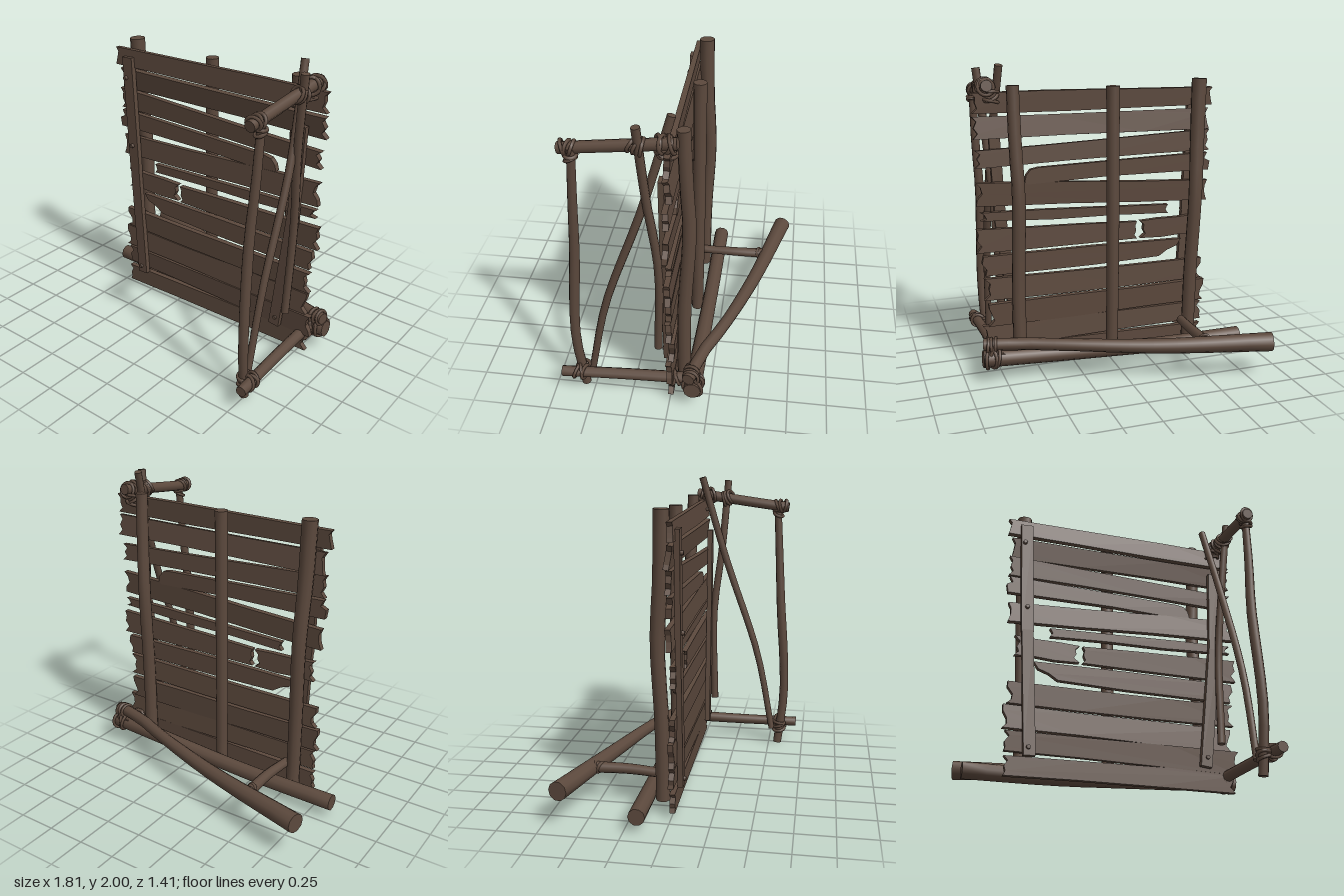
import * as THREE from 'three';
import { toCreasedNormals } from 'three/addons/utils/BufferGeometryUtils.js';

const wood = new THREE.MeshStandardMaterial({ color: 0x5c493d });
wood.name = 'weathered brown wood';

// Seeded random for splintered ends
let seed = 11;
const rand = () => (seed = (seed * 16807) % 2147483647) / 2147483647;
const jitter = (a) => (rand() - 0.5) * 2 * a;

const vec = (p) => new THREE.Vector3(...p);

export function createModel() {
  const model = new THREE.Group();
  model.name = 'plankScreen';

  const add = (name, geo) => {
    const mesh = new THREE.Mesh(geo, wood);
    mesh.name = name;
    model.add(mesh);
    return mesh;
  };

  // Log or pole: a capped cylinder bent along a curve, with radii from start to end
  const pole = (name, points, radii, sides = 10) => {
    const curve = new THREE.CatmullRomCurve3(points.map(vec));
    const n = points.length > 2 ? 12 : 2;
    const frames = curve.computeFrenetFrames(n);
    const geo = new THREE.CylinderGeometry(1, 1, 1, sides, n);
    const pos = geo.attributes.position;
    for (let i = 0; i < pos.count; i++) {
      const t = pos.getY(i) + 0.5;
      const k = Math.round(t * n);
      const f = t * (radii.length - 1);
      const j = Math.min(Math.floor(f), radii.length - 2);
      const r = THREE.MathUtils.lerp(radii[j], radii[j + 1], f - j);
      const p = curve.getPointAt(k / n)
        .addScaledVector(frames.normals[k], pos.getX(i) * r)
        .addScaledVector(frames.binormals[k], -pos.getZ(i) * r);
      pos.setXYZ(i, p.x, p.y, p.z);
    }
    return add(name, toCreasedNormals(geo, 0.8));
  };

  // Board outline with ragged ends, extruded in z
  const plank = (name, x0, x1, b0, t0, b1, t1, z, tilt = 0, yaw = 0) => {
    const outline = [];
    const len = x1 - x0;
    const edge = (lo, hi, u) => THREE.MathUtils.lerp(lo, hi, u);
    for (const u of [0, 0.3, 0.62, 1]) {
      outline.push([x0 + len * u, edge(b0, b1, u) + jitter(0.005)]);
    }
    for (const v of [0.25, 0.5, 0.78]) outline.push([x1 - rand() * 0.04, edge(b1, t1, v)]);
    for (const u of [1, 0.7, 0.35, 0]) {
      outline.push([x0 + len * u, edge(t0, t1, u) + jitter(0.005)]);
    }
    for (const v of [0.75, 0.45, 0.2]) outline.push([x0 + rand() * 0.035, edge(b0, t0, v)]);
    const cx = (x0 + x1) / 2;
    const cy = (b0 + t0 + b1 + t1) / 4;
    const shape = new THREE.Shape(outline.map(([x, y]) => new THREE.Vector2(x - cx, y - cy)));
    const geo = new THREE.ExtrudeGeometry(shape, { depth: 0.035, bevelEnabled: false });
    geo.translate(0, 0, -0.0175);
    const mesh = add(name, geo);
    mesh.position.set(cx, cy, z);
    mesh.rotation.set(tilt, yaw, 0);
  };

  // Horizontal planks, bottom to top: x range, left bottom/top, right bottom/top, z, tilt, yaw
  [
    [-0.68, 0.83, 0.05, 0.17, 0.06, 0.19, 0.0, 0, 0.01],
    [-0.68, 0.86, 0.20, 0.33, 0.18, 0.33, 0.0, 0.05, 0],
    [-0.70, 0.82, 0.34, 0.49, 0.33, 0.48, -0.005, -0.04, 0.01],
    [-0.68, 0.84, 0.50, 0.645, 0.50, 0.645, 0.005, 0.04, 0],
    [-0.65, -0.22, 0.83, 0.96, 0.83, 0.95, 0.0, 0, 0.03],
    [-0.20, 0.88, 0.83, 0.95, 0.83, 0.98, 0.0, 0.03, 0],
    [-0.42, 0.85, 0.99, 1.05, 1.03, 1.09, -0.005, 0, 0],
    [-0.70, 0.87, 1.06, 1.20, 1.13, 1.28, 0.0, -0.05, -0.015],
    [-0.71, 0.87, 1.41, 1.55, 1.37, 1.48, 0.0, 0.06, -0.01],
    [-0.70, 0.88, 1.55, 1.69, 1.55, 1.69, -0.01, 0.16, 0],
    [-0.73, 0.88, 1.71, 1.83, 1.71, 1.84, 0.0, -0.05, 0.01],
  ].forEach((p, i) => plank(`plank${i + 1}`, ...p));

  // Two broken planks with worn tips
  const broken = (name, pts) => {
    const shape = new THREE.Shape(pts.map(([x, y]) => new THREE.Vector2(x, y)));
    const geo = new THREE.ExtrudeGeometry(shape, { depth: 0.035, bevelEnabled: false });
    add(name, geo.translate(0, 0, -0.018));
  };
  broken('taperedPlank', [[-0.52, 0.8], [-0.49, 0.755], [-0.42, 0.73], [-0.36, 0.69],
    [0.1, 0.675], [0.83, 0.67], [0.82, 0.71], [0.85, 0.75], [0.84, 0.8], [0.1, 0.805]]);
  broken('shortPlank', [[-0.71, 1.27], [0, 1.27], [0.54, 1.25], [0.56, 1.27], [0.55, 1.31],
    [0.52, 1.345], [0.47, 1.355], [0, 1.37], [-0.7, 1.39], [-0.68, 1.35], [-0.72, 1.33]]);

  // Upright logs behind the planks
  pole('rearPostLeft', [[0.63, 0.08, -0.07], [0.63, 0.6, -0.07], [0.62, 1.2, -0.1],
    [0.63, 1.5, -0.085], [0.635, 1.88, -0.07]], [0.045, 0.043, 0.04]);
  pole('rearPostMiddle', [[0, 0.1, -0.08], [-0.005, 0.9, -0.085], [-0.005, 1.86, -0.085]], [0.04, 0.043]);
  pole('rearPostRight', [[-0.56, 0.08, -0.07], [-0.57, 0.6, -0.075], [-0.585, 1.1, -0.095],
    [-0.6, 1.5, -0.07], [-0.61, 1.89, -0.06]], [0.045, 0.045, 0.05]);

  // Flat battens nailed on the front
  const batten = (name, a, b, width) => {
    const from = vec(a), to = vec(b);
    const mesh = add(name, new THREE.BoxGeometry(width, from.distanceTo(to), 0.035));
    mesh.position.copy(from).add(to).multiplyScalar(0.5);
    mesh.quaternion.setFromUnitVectors(new THREE.Vector3(0, 1, 0), to.sub(from).normalize());
  };
  batten('battenRightLower', [-0.53, 0.17, 0.04], [-0.575, 1.0, 0.035], 0.075);
  batten('battenRightUpper', [-0.575, 0.99, 0.035], [-0.61, 1.78, 0.035], 0.08);
  batten('battenLeft', [0.615, 0.2, 0.045], [0.715, 1.03, 0.04], 0.075);
  batten('battenLeftUpper', [0.713, 1.0, 0.04], [0.74, 1.62, 0.04], 0.07);
  for (const [x, y] of [[-0.62, 1.64], [-0.585, 1.16], [-0.54, 0.22], [0.625, 0.26]]) {
    const nail = add('nail', new THREE.CylinderGeometry(0.013, 0.015, 0.02, 8));
    nail.rotation.x = Math.PI / 2;
    nail.position.set(x, y, 0.062);
  }

  // Ground rails
  pole('straightRail', [[-0.9, 0.11, -0.168], [-0.3, 0.11, -0.165], [0.2, 0.13, -0.16],
    [0.89, 0.165, -0.15]], [0.053, 0.05, 0.055]);
  pole('diagonalRail', [[-0.9, 0.24, -0.645], [-0.2, 0.235, -0.47], [0.35, 0.25, -0.3],
    [0.62, 0.25, -0.19], [0.88, 0.25, -0.125]], [0.062, 0.05, 0.04, 0.04]);
  pole('railStrut', [[-0.51, 0.23, -0.07], [-0.495, 0.24, -0.3], [-0.5, 0.24, -0.52]], [0.03, 0.036]);
  pole('strutSpike', [[-0.49, 0.25, -0.5], [-0.53, 0.27, -0.585]], [0.025, 0.003], 6);

  // Side frame
  pole('frontPost', [[0.74, 0.01, 0.565], [0.755, 0.42, 0.605], [0.75, 1.1, 0.565],
    [0.77, 1.45, 0.545], [0.78, 1.8, 0.525]], [0.03, 0.033, 0.025]);
  pole('topBeam', [[0.76, 1.79, 0.605], [0.77, 1.83, 0.3], [0.79, 1.88, -0.06]], [0.035, 0.036]);
  pole('lowerBeam', [[0.81, 0.155, 0.7], [0.79, 0.16, 0.3], [0.78, 0.17, -0.19]], [0.034, 0.038]);
  pole('diagonalBrace', [[0.73, 0.12, 0.52], [0.745, 0.7, 0.4], [0.745, 1.4, 0.16],
    [0.705, 2.0, -0.015]], [0.022, 0.025, 0.025]);
  pole('innerPost', [[0.715, 0.35, 0.085], [0.74, 1.0, 0.07], [0.77, 1.5, 0.125],
    [0.815, 1.975, 0.16]], [0.026, 0.026, 0.026]);

  // Rope lashings: a few uneven loops around each joint, along the given axis
  const lash = (center, axis, radius, loops = 3) => {
    for (let i = 0; i < loops; i++) {
      const ring = add('ropeLashing', new THREE.TorusGeometry(radius, 0.011, 6, 16));
      const dir = vec(axis).add(new THREE.Vector3(jitter(0.4), jitter(0.4), jitter(0.4))).normalize();
      ring.quaternion.setFromUnitVectors(new THREE.Vector3(0, 0, 1), dir);
      ring.position.copy(vec(center)).addScaledVector(vec(axis), (i - (loops - 1) / 2) * 0.026);
    }
  };
  lash([0.765, 1.8, 0.55], [0, 0, 1], 0.042);
  lash([0.78, 1.75, 0.53], [0, 1, 0], 0.034, 2);
  lash([0.785, 1.85, 0.16], [0, 0.3, 1], 0.048);
  lash([0.79, 1.87, 0.01], [0, 0, 1], 0.05, 4);
  lash([0.76, 1.81, 0.0], [0, 1, 0], 0.05, 3);
  lash([0.8, 0.155, 0.58], [0, 0, 1], 0.045, 3);
  lash([0.75, 0.14, 0.575], [0, 1, 0], 0.042, 3);
  lash([0.785, 0.165, -0.03], [0, 0, 1], 0.046, 2);
  lash([0.83, 0.165, -0.15], [1, 0, 0], 0.065, 3);
  lash([0.83, 0.245, -0.14], [1, 0, 0], 0.047, 3);
  lash([0.79, 0.19, -0.13], [0.4, 0.5, 0.6], 0.08, 2);
  lash([-0.5, 0.24, -0.5], [0, 0, 1], 0.034, 2);

  return model;
}
